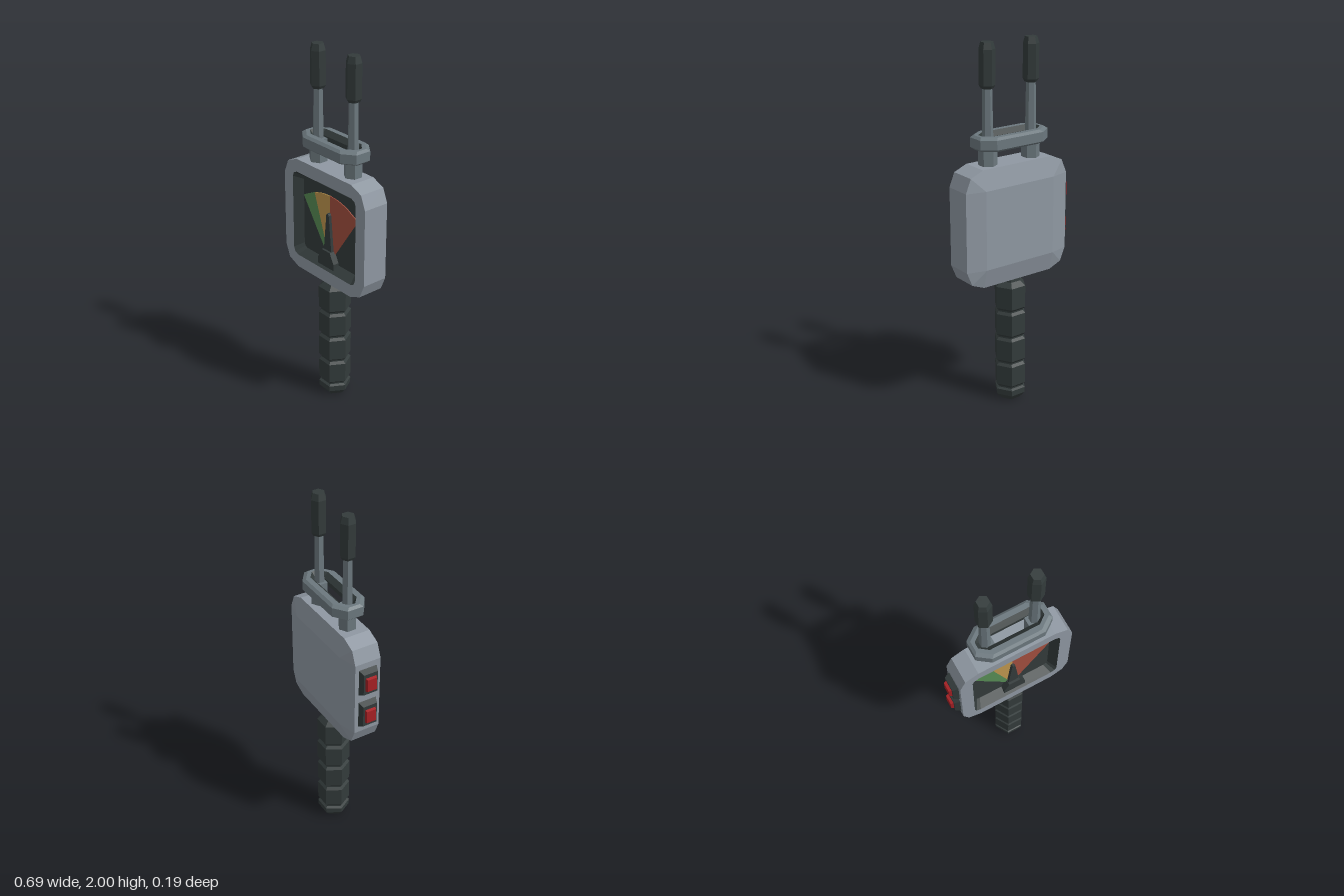
import * as THREE from 'three';

const paint = (name, color, extra = {}) => {
  const m = new THREE.MeshStandardMaterial({ color, flatShading: true, ...extra });
  m.name = name;
  return m;
};

// Rectangle outline with cut or rounded corners, counter-clockwise, at height z
function outline(hw, hh, rx, ry, n, z) {
  const pts = [];
  [[1, 1], [-1, 1], [-1, -1], [1, -1]].forEach(([sx, sy], q) => {
    for (let i = 0; i <= n; i++) {
      const a = (q + i / n) * Math.PI / 2;
      pts.push(new THREE.Vector3(sx * (hw - rx) + rx * Math.cos(a), sy * (hh - ry) + ry * Math.sin(a), z));
    }
  });
  return pts;
}

// Skin through a series of outlines, with optional end caps
function loft(rings, capStart, capEnd) {
  const tris = [];
  const n = rings[0].length;
  for (let k = 0; k + 1 < rings.length; k++) {
    const A = rings[k], B = rings[k + 1];
    for (let i = 0; i < n; i++) {
      const j = (i + 1) % n;
      tris.push(A[i], B[i], B[j], A[i], B[j], A[j]);
    }
  }
  const last = rings[rings.length - 1];
  for (let i = 1; i + 1 < n; i++) {
    if (capStart) tris.push(rings[0][0], rings[0][i], rings[0][i + 1]);
    if (capEnd) tris.push(last[0], last[i + 1], last[i]);
  }
  const g = new THREE.BufferGeometry().setFromPoints(tris);
  g.computeVertexNormals();
  return g;
}

// Six-sided turned part from [radius, y] pairs, bottom to top
const turned = (profile, phase = 0) =>
  new THREE.LatheGeometry(profile.map(([r, y]) => new THREE.Vector2(r, y)), 6, phase);

export function createModel() {
  const root = new THREE.Group();
  root.name = 'handheldMeter';
  const casing = paint('casing grey', 0x8f98a2);
  const metal = paint('metal grey', 0x6c787e);
  const dark = paint('dark rubber', 0x333b3b);
  const green = paint('gauge green', 0x578c55);
  const yellow = paint('gauge yellow', 0xbf964e);
  const red = paint('gauge red', 0xa34f3e);
  const buttonRed = paint('button red', 0xa62024);

  const CX = 0.02, CY = 1.053;
  const add = (name, geo, mat, x = 0, y = 0, z = 0, parent = root) => {
    const m = new THREE.Mesh(geo, mat);
    m.name = name;
    m.position.set(x, y, z);
    parent.add(m);
    return m;
  };

  // Casing with front rim and sloped back
  const R = 0.106, floorZ = 0.03;
  const opening = outline(0.253, 0.247, 0.035, 0.035, 2, 0.08);
  add('casing', loft([
    opening,
    outline(0.323, 0.32, R, R, 2, 0.08),
    outline(0.323, 0.32, R, R, 2, -0.068),
    outline(0.323 - R, 0.32 - R, 0, 0, 2, -0.095),
  ], false, true), casing, CX, CY);

  // Recessed dial
  add('dialRecess', loft([outline(0.222, 0.215, 0.025, 0.025, 2, floorZ), opening], true, false), dark, CX, CY);

  // Gauge bands fanning out from the pivot, angles measured from vertical
  const fan = (name, angles, mat) => {
    const s = new THREE.Shape();
    s.moveTo(0, 0);
    angles.forEach((d) => {
      const a = THREE.MathUtils.degToRad(d);
      s.lineTo(0.387 * Math.sin(a), 0.387 * Math.cos(a));
    });
    const g = new THREE.ExtrudeGeometry(s, { depth: 0.005, bevelEnabled: false });
    add(name, g, mat, CX, 0.835, floorZ);
  };
  fan('greenBand', [-34.3, -19], green);
  fan('yellowBand', [-19, -9, 0], yellow);
  fan('redBand', [0, 9, 19, 34.3], red);

  // Needle and its pivot block
  const plate = (name, half, depth, z) => {
    const pts = [...half, ...half.map(([x, y]) => [-x, y]).reverse()];
    const s = new THREE.Shape(pts.map(([x, y]) => new THREE.Vector2(x, y)));
    add(name, new THREE.ExtrudeGeometry(s, { depth, bevelEnabled: false }), dark, CX, 0, z);
  };
  plate('needle', [[0.034, 0.87], [0.01, 1.115], [0.005, 1.125]], 0.022, floorZ);
  plate('needlePivot', [[0.064, 0.812], [0.064, 0.852], [0.033, 0.91]], 0.035, floorZ);

  // Grip with grooves
  const grip = [[0, 0], [0.06, 0.002], [0.088, 0.035], [0.09, 0.068]];
  [[0.09, 0.22], [0.24, 0.375], [0.395, 0.53], [0.55, 0.69]].forEach(([lo, hi]) => {
    grip.push([0.076, lo - 0.014], [0.076, lo - 0.006], [0.09, lo + 0.008], [0.09, hi - 0.008]);
  });
  grip.push([0.06, 0.708], [0.055, 0.74]);
  add('grip', turned(grip, Math.PI / 2), dark, CX);

  // Antennas: socket, rod and tip on each side
  [['right', -0.115], ['left', 0.159]].forEach(([side, x]) => {
    const g = new THREE.Group();
    g.name = side + 'Antenna';
    g.position.x = x;
    root.add(g);
    add('socket', turned([[0.049, 1.365], [0.049, 1.5], [0, 1.5]]), metal, 0, 0, 0, g);
    add('rod', turned([[0.03, 1.46], [0.025, 1.78]]), metal, 0, 0, 0, g);
    add('tip', turned([[0, 1.768], [0.032, 1.768], [0.042, 1.785], [0.042, 1.965], [0.032, 2], [0, 2]]), dark, 0, 0, 0, g);
  });

  // Bracket ring joining the antennas, with a dark funnel-shaped slot
  const slotTop = outline(0.183, 0.052, 0.045, 0.035, 1, 0.037);
  const slotBottom = outline(0.183, 0.052, 0.045, 0.035, 1, -0.037);
  const band = (z, inset) => outline(0.214 - inset, 0.095 - inset, 0.068, 0.05, 1, z);
  const bracket = new THREE.Group();
  bracket.name = 'bracket';
  bracket.position.set(0.022, 1.495, 0);
  bracket.rotation.x = -Math.PI / 2;
  root.add(bracket);
  add('bracketRing', loft([slotTop, band(0.037, 0.014), band(0.025, 0), band(-0.025, 0), band(-0.037, 0.014), slotBottom]),
    metal, 0, 0, 0, bracket);
  add('bracketSlot', loft([slotBottom, outline(0.16, 0.026, 0.02, 0.015, 1, -0.012),
    outline(0.16, 0.026, 0.02, 0.015, 1, 0.012), slotTop]), dark, 0, 0, 0, bracket);

  // Side buttons
  [['upper', 1.155], ['lower', 0.953]].forEach(([level, y]) => {
    const b = new THREE.Group();
    b.name = level + 'Button';
    b.position.set(-0.303, y, 0.006);
    b.rotation.y = -Math.PI / 2;
    root.add(b);
    add('buttonBase', loft([outline(0.041, 0.062, 0, 0, 1, 0.03), outline(0.052, 0.077, 0, 0, 1, 0)], true), dark, 0, 0, 0, b);
    add('buttonCap', loft([outline(0.027, 0.036, 0, 0, 1, 0.045), outline(0.031, 0.04, 0, 0, 1, 0.029)], true), buttonRed, 0, 0, 0, b);
  });

  return root;
}
